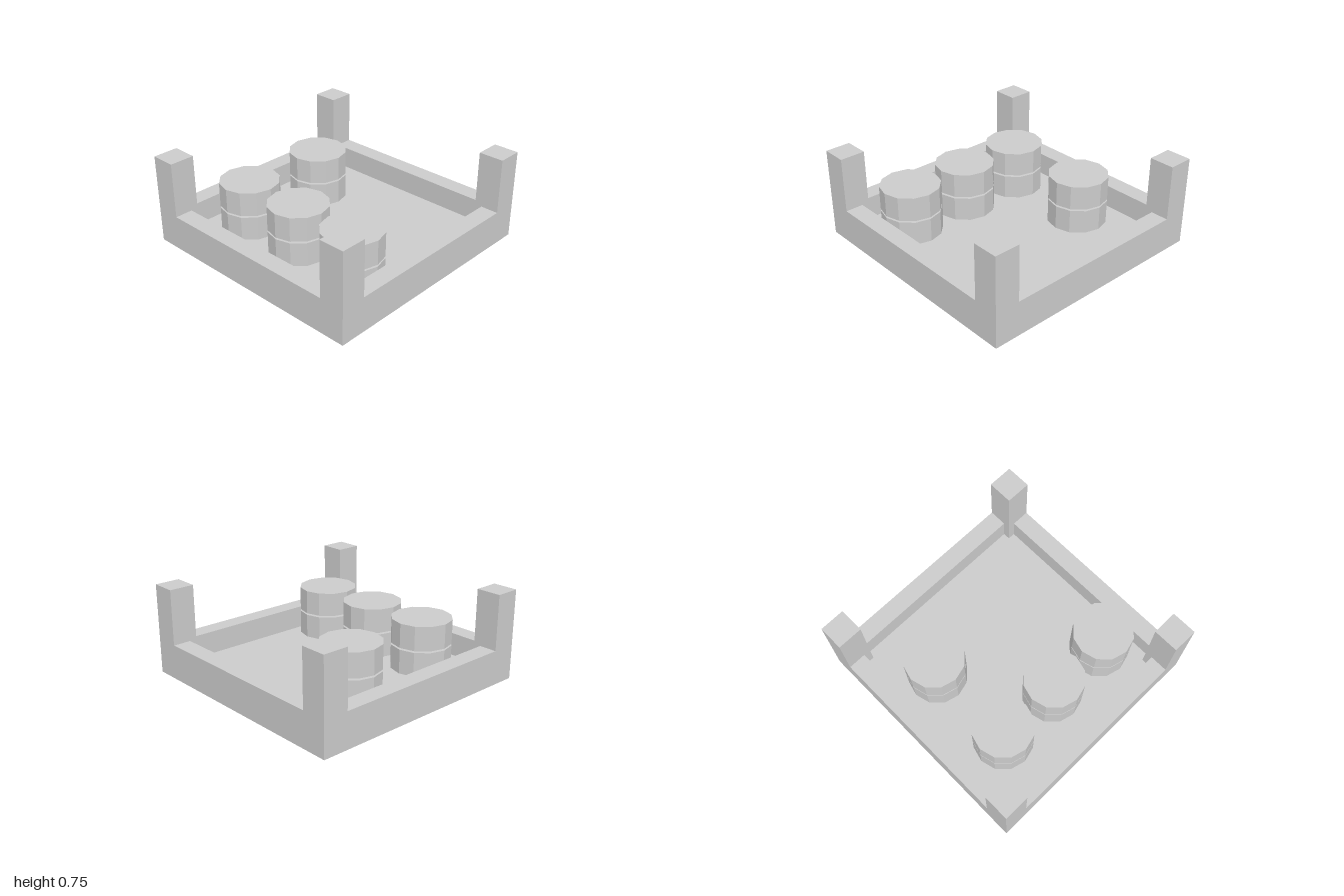
import * as THREE from 'three';

const material = new THREE.MeshStandardMaterial({ color: 0xcccccc, flatShading: true });

export function createModel() {
  const model = new THREE.Group();
  model.name = 'crateWithDrums';

  const add = (name, geometry, x, y, z) => {
    const mesh = new THREE.Mesh(geometry, material);
    mesh.name = name;
    mesh.position.set(x, y, z);
    model.add(mesh);
  };
  // Box standing on the ground
  const block = (name, w, h, d, x, z) => add(name, new THREE.BoxGeometry(w, h, d), x, h / 2, z);

  const post = 0.21, postHeight = 0.75;
  const wall = 0.15, wallHeight = 0.29;
  const inner = 2 - 2 * post; // wall length between posts
  const wallCentre = 1 - wall / 2, postCentre = 1 - post / 2;

  // Tray floor
  block('floor', 2 - 2 * wall, 0.1, 2 - 2 * wall, 0, 0);

  // Low walls and corner posts
  for (const s of [-1, 1]) {
    block(s > 0 ? 'leftWall' : 'rightWall', wall, wallHeight, inner, s * wallCentre, 0);
    block(s > 0 ? 'frontWall' : 'backWall', inner, wallHeight, wall, 0, s * wallCentre);
    for (const t of [-1, 1]) {
      block('cornerPost', post, postHeight, post, s * postCentre, t * postCentre);
    }
  }

  // Underside panel closing the base out to the walls
  // Twelve-sided drums, stacked two high with a thin gap
  const drumHeight = 0.2;
  const drum = new THREE.CylinderGeometry(0.245, 0.245, drumHeight, 12);
  for (const [x, z] of [[-0.51, -0.3], [-0.51, 0.467], [0.042, 0.467], [0.595, 0.467]]) {
    add('lowerDrum', drum, x, 0.11 + drumHeight / 2, z);
    add('upperDrum', drum, x, 0.325 + drumHeight / 2, z);
  }

  return model;
}
